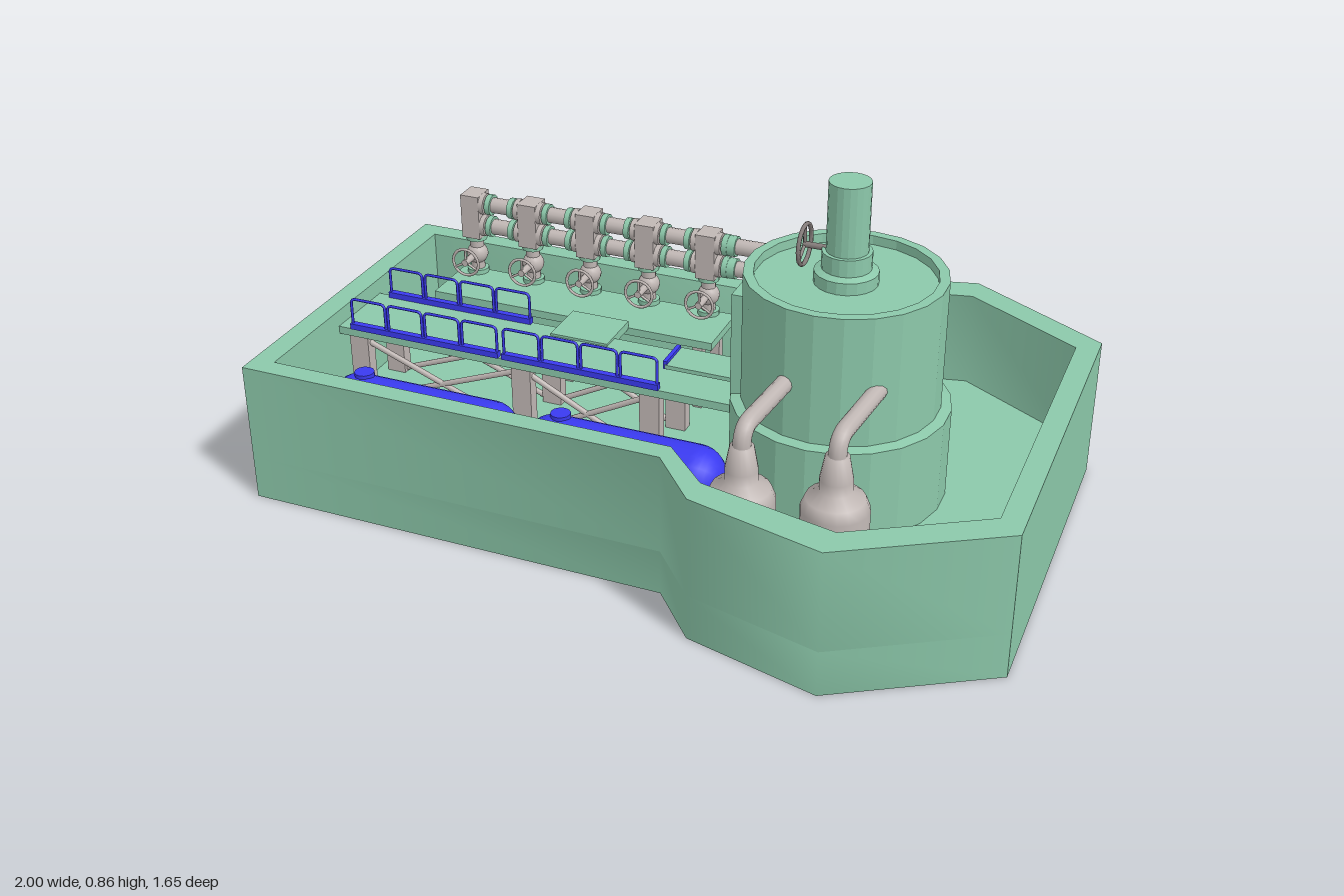
import * as THREE from 'three';
import { toCreasedNormals } from 'three/addons/utils/BufferGeometryUtils.js';

const mat = (color, flatShading = false) => new THREE.MeshStandardMaterial({ color, flatShading });
const GREEN = mat(0x8cc8aa), FACET = mat(0x8cc8aa, true);
const GREY = mat(0xc0b7b4), DARK = mat(0x857d7b), BLUE = mat(0x3a3af0);
const WALL = 0.35, FLOOR = 0.11, DECK = 0.31;
const V = (x, y, z) => new THREE.Vector3(x, y, z);

function add(parent, name, geo, material, x = 0, y = 0, z = 0) {
  const m = new THREE.Mesh(geo, material);
  m.name = name;
  m.position.set(x, y, z);
  parent.add(m);
  return m;
}
// box given by its limits on each axis
const box = (p, name, material, x0, x1, y0, y1, z0, z1) =>
  add(p, name, new THREE.BoxGeometry(x1 - x0, y1 - y0, z1 - z0), material, (x0 + x1) / 2, (y0 + y1) / 2, (z0 + z1) / 2);

// cylinder between two points
function rod(p, name, material, a, b, r, seg = 12) {
  const d = b.clone().sub(a);
  const m = add(p, name, new THREE.CylinderGeometry(r, r, d.length(), seg), material);
  m.position.copy(a).addScaledVector(d, 0.5);
  m.quaternion.setFromUnitVectors(V(0, 1, 0), d.normalize());
  return m;
}

// straight pipe run with one rounded bend
function bentPipe(p, name, a, corner, b, r, bend) {
  const s = corner.clone().add(a.clone().sub(corner).setLength(bend));
  const e = corner.clone().add(b.clone().sub(corner).setLength(bend));
  rod(p, name, GREY, a, s, r);
  add(p, name + 'Bend', new THREE.TubeGeometry(new THREE.QuadraticBezierCurve3(s, corner, e), 10, r, 12), GREY);
  rod(p, name, GREY, e, b, r);
}

// spoked wheel facing +z
function handwheel(p, r, material) {
  const g = new THREE.Group();
  g.name = 'handwheel';
  add(g, 'rim', new THREE.TorusGeometry(r, r * 0.11, 6, 20), material);
  for (let i = 0; i < 3; i++) {
    const t = (i * 2 * Math.PI) / 3 + Math.PI / 2;
    rod(g, 'spoke', material, V(0, 0, 0), V(Math.cos(t) * r, Math.sin(t) * r, 0), r * 0.09, 6);
  }
  p.add(g);
  return g;
}

// mirrored plan outline from one half, counter-clockwise
function outline(half, Type) {
  const pts = [...half.map(([x, z]) => [x, -z]), ...[...half].reverse()];
  return new Type(pts.map(([x, z]) => new THREE.Vector2(x, z)));
}

function slab(p, name, shape, top, depth) {
  const g = new THREE.ExtrudeGeometry(shape, { depth, bevelEnabled: false });
  g.rotateX(Math.PI / 2);
  return add(p, name, toCreasedNormals(g, 0.9), GREEN, 0, top, 0);
}

// row of bent-tube hoops on a toe board
function railing(p, x0, x1, z) {
  const g = new THREE.Group();
  g.name = 'railing';
  const n = Math.round((x1 - x0) / 0.1), w = (x1 - x0) / n, top = 0.39, c = 0.012;
  for (let i = 0; i < n; i++) {
    const a = x0 + i * w + 0.004, b = x0 + (i + 1) * w - 0.004;
    const path = new THREE.CurvePath();
    path.add(new THREE.LineCurve3(V(a, DECK, z), V(a, top - c, z)));
    path.add(new THREE.QuadraticBezierCurve3(V(a, top - c, z), V(a, top, z), V(a + c, top, z)));
    path.add(new THREE.LineCurve3(V(a + c, top, z), V(b - c, top, z)));
    path.add(new THREE.QuadraticBezierCurve3(V(b - c, top, z), V(b, top, z), V(b, top - c, z)));
    path.add(new THREE.LineCurve3(V(b, top - c, z), V(b, DECK, z)));
    add(g, 'railHoop', new THREE.TubeGeometry(path, 40, 0.0035, 6), BLUE);
  }
  box(g, 'toeBoard', BLUE, x0, x1, DECK, DECK + 0.015, z - 0.008, z + 0.008);
  p.add(g);
}

function buildBasin(p) {
  const outer = [[-0.905, 0.43], [0.134, 0.43], [0.246, 0.557], [0.56, 0.634], [0.905, 0.43]];
  const inner = [[-0.85, 0.381], [0.14, 0.381], [0.25, 0.49], [0.564, 0.557], [0.852, 0.386]];
  const ring = outline(outer, THREE.Shape);
  ring.holes.push(outline(inner, THREE.Path));
  slab(p, 'basinWall', ring, WALL, WALL - FLOOR);
  slab(p, 'basinFloor', outline(outer, THREE.Shape), FLOOR, FLOOR);
}

function buildTank(p) {
  const g = new THREE.Group();
  g.name = 'tank';
  g.position.set(0.4, 0, 0.008);
  const lathe = (name, pts, seg) => add(g, name,
    new THREE.LatheGeometry(pts.map(([r, y]) => new THREE.Vector2(r, y)), seg), FACET);
  // shell with footing step and recessed lid
  lathe('tankShell', [[0.25, FLOOR], [0.25, 0.33], [0.226, 0.335], [0.226, 0.642], [0.203, 0.642], [0.203, 0.62], [0, 0.62]], 22);
  // central column with collar
  lathe('column', [[0.072, 0.62], [0.072, 0.648], [0.056, 0.655], [0.056, 0.695], [0.047, 0.695], [0.047, 0.857], [0, 0.857]], 20);
  rod(g, 'wheelStem', DARK, V(-0.04, 0.692, 0), V(-0.1, 0.692, 0), 0.007);
  const w = handwheel(g, 0.046, DARK);
  w.position.set(-0.097, 0.692, 0);
  w.rotation.y = Math.PI / 2;
  // doorway facing the walkway
  for (const s of [-1, 1]) box(g, 'doorJamb', GREEN, -0.236, -0.19, DECK, 0.58, s * 0.07 - 0.01, s * 0.07 + 0.01);
  box(g, 'doorLintel', GREEN, -0.236, -0.19, 0.56, 0.58, -0.08, 0.08);
  box(g, 'door', GREEN, -0.228, -0.19, DECK, 0.56, -0.06, 0.06);
  p.add(g);
}

function buildWalkway(p) {
  box(p, 'walkway', GREEN, -0.85, 0.17, DECK - 0.02, DECK, -0.09, 0.105);
  box(p, 'crossover', GREEN, -0.35, -0.2, DECK - 0.015, DECK + 0.006, -0.175, -0.045);
  box(p, 'valvePlatform', GREEN, -0.737, 0.02, 0.28, 0.3, -0.335, -0.17);
  // raised step to the door with edge bars
  box(p, 'doorStep', GREEN, -0.01, 0.155, 0.34, 0.35, -0.04, 0.055);
  for (const x of [-0.01, 0.155]) box(p, 'stepEdge', BLUE, x - 0.005, x + 0.005, 0.338, 0.358, -0.036, 0.052);
  railing(p, -0.816, -0.415, 0.1);
  railing(p, -0.405, -0.005, 0.1);
  railing(p, -0.816, -0.42, -0.085);
  // legs and cross bracing below the deck
  const xs = [-0.8, -0.36, -0.03];
  for (const z of [-0.075, 0.085]) {
    for (const x of xs) box(p, 'walkwayLeg', GREY, x - 0.025, x + 0.025, FLOOR, DECK - 0.02, z - 0.015, z + 0.015);
    for (let i = 0; i < 2; i++) {
      rod(p, 'brace', GREY, V(xs[i], FLOOR, z), V(xs[i + 1], 0.28, z), 0.007, 6);
      rod(p, 'brace', GREY, V(xs[i], 0.28, z), V(xs[i + 1], FLOOR, z), 0.007, 6);
    }
  }
  for (const x of [-0.7, -0.37, -0.02])
    for (const z of [-0.31, -0.19]) box(p, 'platformLeg', GREY, x - 0.012, x + 0.012, FLOOR, 0.28, z - 0.012, z + 0.012);
}

function buildManifold(p) {
  const z = -0.315, levels = [0.437, 0.497];
  for (const y of levels) {
    bentPipe(p, 'manifoldPipe', V(-0.69, y, z), V(0.46, y, z), V(0.46, y, -0.2), 0.02, 0.065);
    for (const x of [0.02, 0.3, 0.385]) rod(p, 'pipeCollar', GREEN, V(x - 0.01, y, z), V(x + 0.01, y, z), 0.026);
    rod(p, 'pipeCollar', GREEN, V(0.46, y, -0.245), V(0.46, y, -0.23), 0.026);
  }
  box(p, 'tankInlet', GREEN, 0.425, 0.495, 0.41, 0.525, -0.23, -0.19);
  for (let i = 0; i < 5; i++) {
    const g = new THREE.Group();
    g.name = 'valveStation';
    g.position.set(-0.69 + i * 0.161, 0, z - 0.005);
    box(g, 'valveBox', GREY, -0.025, 0.025, 0.405, 0.522, -0.03, 0.03);
    for (const y of levels)
      for (const s of i === 0 ? [1] : [-1, 1]) {
        rod(g, 'boxCollar', GREY, V(s * 0.025, y, 0.005), V(s * 0.038, y, 0.005), 0.028);
        rod(g, 'flange', GREEN, V(s * 0.042, y, 0.005), V(s * 0.056, y, 0.005), 0.027);
      }
    rod(g, 'downPipe', GREY, V(0, 0.3, 0), V(0, 0.41, 0), 0.018);
    rod(g, 'downFlange', GREEN, V(0, 0.3, 0), V(0, 0.312, 0), 0.028);
    rod(g, 'downFlange', GREEN, V(0, 0.393, 0), V(0, 0.405, 0), 0.027);
    add(g, 'valveBody', new THREE.SphereGeometry(0.028, 14, 10), GREY, 0, 0.352, 0);
    rod(g, 'valveStem', GREY, V(0, 0.352, 0), V(0, 0.352, 0.072), 0.009);
    handwheel(g, 0.036, GREY).position.set(0, 0.352, 0.065);
    p.add(g);
  }
}

// side vessels with a necked top and an elbow into the tank
function buildOutlets(p) {
  for (const [x, z, tx, tz] of [[0.317, 0.428, 0.34, 0.18], [0.511, 0.391, 0.532, 0.16]]) {
    const pts = [[0.074, FLOOR], [0.074, 0.295], [0.064, 0.32], [0.036, 0.338], [0.036, 0.365], [0.026, 0.42], [0, 0.42]];
    const vessel = new THREE.LatheGeometry(pts.map(([r, y]) => new THREE.Vector2(r, y)), 18);
    add(p, 'outletVessel', vessel, GREY, x, 0, z);
    bentPipe(p, 'outletPipe', V(x, 0.4, z), V(x, 0.462, z), V(tx, 0.462, tz), 0.02, 0.04);
  }
}

function buildStorage(p) {
  for (const x of [-0.55, -0.035]) {
    const g = new THREE.Group();
    g.name = 'storageCylinder';
    g.position.set(x, 0.19, 0.238);
    add(g, 'vessel', new THREE.CapsuleGeometry(0.075, 0.345, 8, 18), BLUE).rotation.z = Math.PI / 2;
    rod(g, 'port', BLUE, V(-0.162, 0.05, -0.015), V(-0.162, 0.083, -0.015), 0.024);
    for (const s of [-1, 1]) box(g, 'saddle', GREY, s * 0.12 - 0.015, s * 0.12 + 0.015, -0.08, -0.04, -0.055, 0.055);
    p.add(g);
  }
}

export function createModel() {
  const model = new THREE.Group();
  model.name = 'pumpStation';
  // everything is laid out along one axis, then turned in plan
  const plan = new THREE.Group();
  plan.name = 'station';
  plan.rotation.y = Math.PI / 6;
  for (const build of [buildBasin, buildTank, buildWalkway, buildManifold, buildOutlets, buildStorage]) build(plan);
  model.add(plan);
  return model;
}
